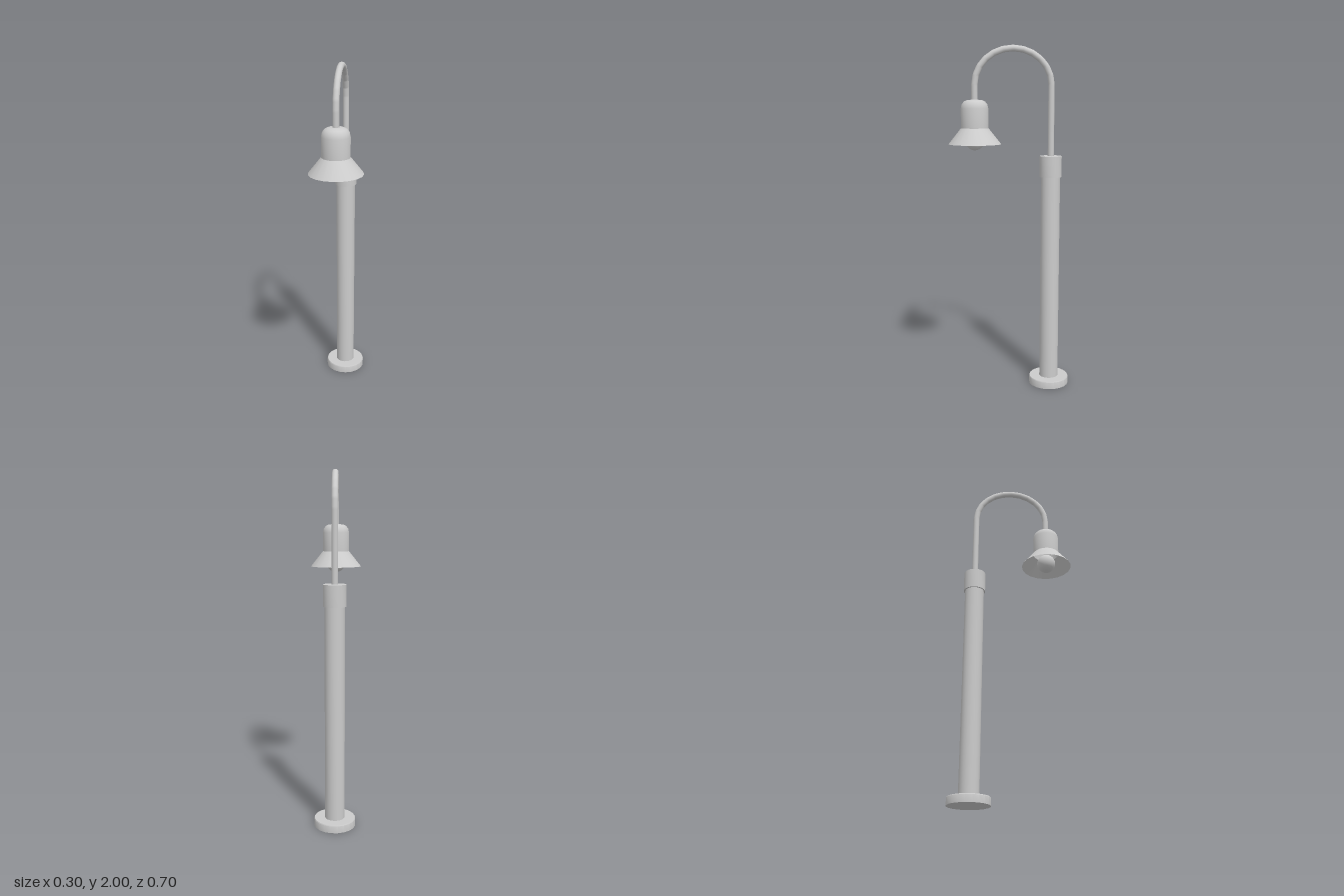
import * as THREE from 'three';
import { toCreasedNormals } from 'three/addons/utils/BufferGeometryUtils.js';

const POLE_Z = -0.236, LAMP_Z = 0.2, SIDES = 20;

export function createModel() {
  const model = new THREE.Group();
  const grey = new THREE.MeshStandardMaterial({ color: 0xcccccc });
  const thin = new THREE.MeshStandardMaterial({ color: 0xcccccc, side: THREE.DoubleSide });

  const add = (name, geometry, z = 0, material = grey) => {
    const mesh = new THREE.Mesh(geometry, material);
    mesh.name = name;
    mesh.position.z = z;
    model.add(mesh);
    return mesh;
  };
  // Turned part from [radius, height] pairs, bottom to top
  const turned = (profile) => toCreasedNormals(
    new THREE.LatheGeometry(profile.map(([r, y]) => new THREE.Vector2(r, y)), SIDES), 0.6);

  // Post: foot plate, column and collar
  const foot = add('footPlate', turned([[0, 0], [0.118, 0], [0.118, 0.04], [0.115, 0.045], [0, 0.045]]), POLE_Z);
  foot.rotation.y = Math.PI / SIDES;
  add('column', turned([[0.056, 0.04], [0.056, 1.27]]), POLE_Z);
  add('collar', turned([[0, 1.26], [0.064, 1.26], [0.064, 1.38], [0, 1.38]]), POLE_Z);

  // Gooseneck: straight rise, half-ellipse bend, short drop into the lamp
  const mid = (POLE_Z + LAMP_Z) / 2, reach = (LAMP_Z - POLE_Z) / 2;
  const path = new THREE.CurvePath();
  const points = [new THREE.Vector3(0, 1.37, POLE_Z)];
  for (let i = 0; i <= 12; i++) {
    const a = Math.PI * i / 12;
    points.push(new THREE.Vector3(0, 1.78 + 0.202 * Math.sin(a), mid - reach * Math.cos(a)));
  }
  points.push(new THREE.Vector3(0, 1.67, LAMP_Z));
  for (let i = 1; i < points.length; i++) path.add(new THREE.LineCurve3(points[i - 1], points[i]));
  add('gooseneck', new THREE.TubeGeometry(path, 90, 0.018, 12));

  // Lamp: flared shade with a domed cap, open below, and its bulb
  add('shade', turned([
    [0.15, 1.45], [0.078, 1.54], [0.078, 1.65], [0.073, 1.672], [0.06, 1.689], [0.042, 1.697], [0, 1.7],
  ]), LAMP_Z, thin);
  add('bulb', new THREE.SphereGeometry(0.056, 20, 14), LAMP_Z).position.y = 1.471;

  return model;
}
